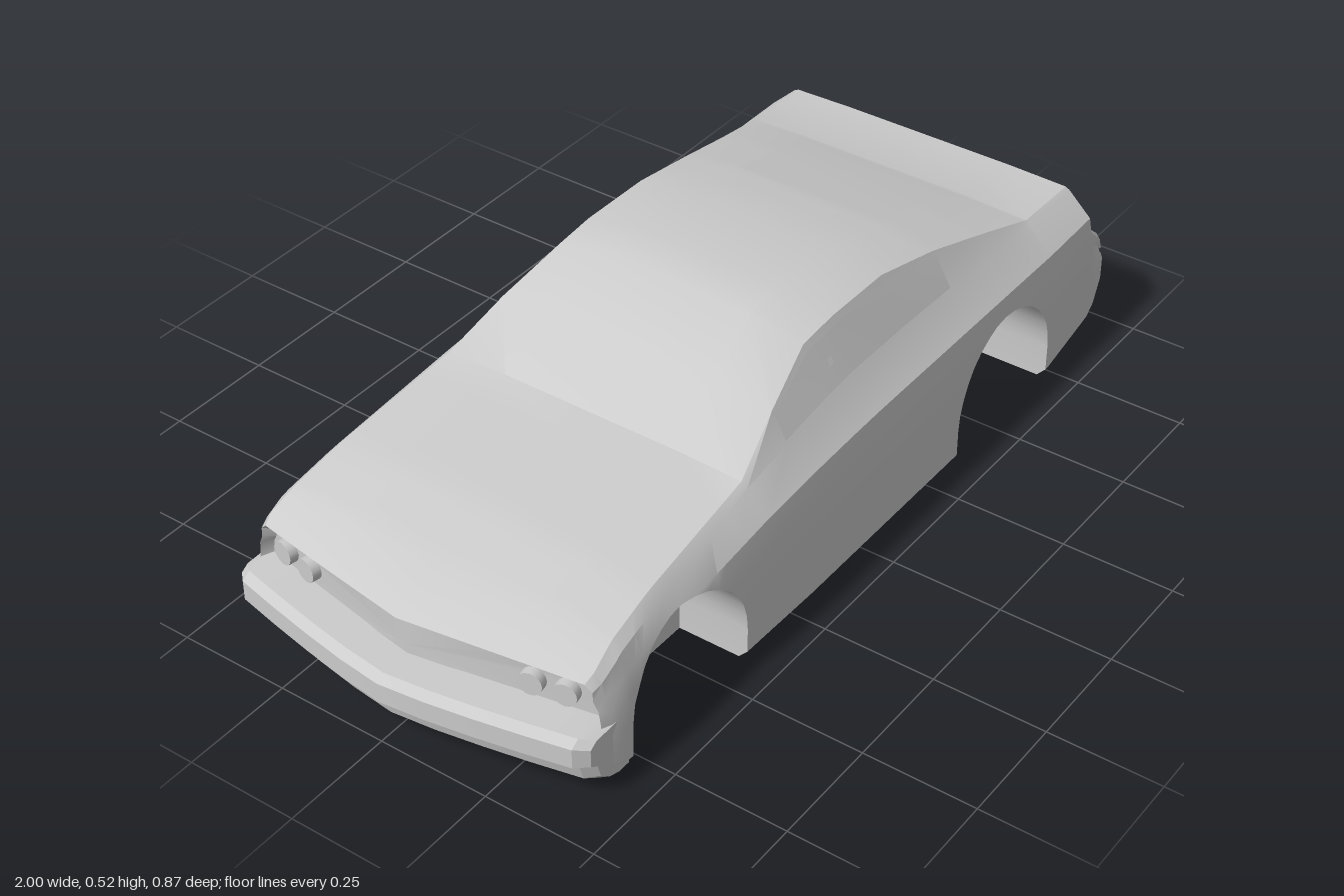
import * as THREE from 'three';
import { toCreasedNormals } from 'three/addons/utils/BufferGeometryUtils.js';

const grey = new THREE.MeshStandardMaterial({ color: 0xcccccc, side: THREE.DoubleSide });
const mix = THREE.MathUtils.lerp;

// Body stations: x, underside y, belt y, belt z, rail y, rail z, centre y, half width
const STATIONS = [
  [-0.935, 0.10, 0.235, 0.40, 0.25, 0.385, 0.26, 0.415],
  [-0.9, 0.03, 0.245, 0.405, 0.265, 0.39, 0.277, 0.425],
  [-0.82, 0.015, 0.265, 0.405, 0.285, 0.385, 0.305, 0.43],
  [-0.66, 0.01, 0.30, 0.395, 0.322, 0.375, 0.34, 0.43],
  [-0.34, 0.005, 0.352, 0.372, 0.362, 0.358, 0.367, 0.433],
  [-0.2, 0, 0.365, 0.367, 0.43, 0.33, 0.45, 0.433],
  [-0.05, 0, 0.372, 0.365, 0.487, 0.30, 0.515, 0.433],
  [0.05, 0, 0.375, 0.362, 0.497, 0.30, 0.521, 0.433],
  [0.23, 0, 0.375, 0.362, 0.495, 0.30, 0.515, 0.433],
  [0.41, 0, 0.375, 0.362, 0.46, 0.312, 0.48, 0.433],
  [0.57, 0, 0.375, 0.362, 0.42, 0.33, 0.437, 0.433],
  [0.73, 0.003, 0.374, 0.36, 0.38, 0.352, 0.385, 0.433],
  [0.9, 0.04, 0.37, 0.36, 0.375, 0.35, 0.378, 0.43],
  [0.935, 0.055, 0.258, 0.405, 0.266, 0.39, 0.27, 0.425],
  [0.98, 0.095, 0.215, 0.405, 0.228, 0.395, 0.231, 0.415],
  [1.0, 0.135, 0.18, 0.40, 0.188, 0.39, 0.19, 0.405],
];
const ARCH = { radius: 0.185, y: 0.085, inner: 0.27, centres: [-0.605, 0.535] };

function stationAt(x) {
  let i = 0;
  while (i < STATIONS.length - 2 && STATIONS[i + 1][0] < x) i++;
  const a = STATIONS[i], b = STATIONS[i + 1], t = (x - a[0]) / (b[0] - a[0]);
  return a.map((v, k) => mix(v, b[k], t));
}

// Sweeps the nose back towards its corners, fading out behind it
function swept(x, y, z) {
  const fade = THREE.MathUtils.clamp((-0.78 - x) / 0.15, 0, 1);
  return new THREE.Vector3(x + 0.075 * fade * Math.pow(Math.abs(z) / 0.42, 1.3), y, z);
}

// Closed loft through equal rings, capped at both ends
function loft(rings, crease = 0.4) {
  const pos = [], n = rings[0].length;
  const tri = (a, b, c) => {
    const area = b.clone().sub(a).cross(c.clone().sub(a)).length();
    if (area > 1e-8) pos.push(...a, ...b, ...c);
  };
  for (let r = 0; r < rings.length - 1; r++) {
    for (let i = 0; i < n; i++) {
      const j = (i + 1) % n, A = rings[r], B = rings[r + 1];
      tri(A[i], B[i], B[j]);
      tri(A[i], B[j], A[j]);
    }
  }
  const cap = (ring, flip) => {
    const c = ring[0].clone().add(ring[n / 2]).multiplyScalar(0.5);
    ring.forEach((p, i) => {
      const q = ring[(i + 1) % n];
      flip ? tri(c, q, p) : tri(c, p, q);
    });
  };
  cap(rings[0], false);
  cap(rings[rings.length - 1], true);
  // Turn the faces outward if the enclosed volume is negative
  let volume = 0;
  const P = (k) => new THREE.Vector3(pos[k], pos[k + 1], pos[k + 2]);
  for (let k = 0; k < pos.length; k += 9) volume += P(k).dot(P(k + 3).cross(P(k + 6)));
  if (volume < 0) {
    for (let k = 0; k < pos.length; k += 9) {
      for (let c = 0; c < 3; c++) [pos[k + 3 + c], pos[k + 6 + c]] = [pos[k + 6 + c], pos[k + 3 + c]];
    }
  }
  const g = new THREE.BufferGeometry();
  g.setAttribute('position', new THREE.Float32BufferAttribute(pos, 3));
  return toCreasedNormals(g, crease);
}

// One body section; archY lifts the lower side to open a wheel well
function bodyRing(x, archY = null, inset = null) {
  const [, b, beltY, beltZ, railY, railZ, top, w] = stationAt(x);
  const side = [
    [b, w - 0.02], [b + 0.022, w], [mix(b, beltY, 0.45), w], [mix(b, beltY, 0.68), w - 0.004],
    [mix(b, beltY, 0.84), w - 0.014], [beltY, beltZ],
  ];
  const widthAt = (y) => {
    let i = 0;
    while (i < side.length - 2 && side[i + 1][0] < y) i++;
    return mix(side[i][1], side[i + 1][1], (y - side[i][0]) / (side[i + 1][0] - side[i][0]));
  };
  const floor = archY ?? b;
  const half = [[b, 0], [b, ARCH.inner], [floor, ARCH.inner]];
  side.forEach(([y, z]) => half.push(y < floor ? [floor, widthAt(floor)] : [y, z]));
  half.push([railY, railZ], [top, railZ * 0.6], [top, 0]);
  const mirrored = half.slice(1, -1).reverse().map(([y, z]) => [y, -z]);
  return [...half, ...mirrored].map(([y, z]) => {
    const p = swept(x, y, z);
    if (inset) p.set(p.x + inset, 0.18 + (y - 0.18) * 0.82, z * 0.96);
    return p;
  });
}

function bodyRings() {
  const list = STATIONS.map(([x]) => ({ x, arch: null }));
  const { radius, y, centres } = ARCH, steps = 16;
  const inArch = (x) => centres.some((c) => Math.abs(x - c) <= radius);
  const out = list.filter(({ x }) => !inArch(x));
  centres.forEach((c) => {
    out.push({ x: c - radius, arch: null });
    for (let i = 0; i <= steps; i++) {
      const a = Math.PI * (1 - i / steps);
      out.push({ x: c + radius * Math.cos(a), arch: y + radius * Math.sin(a) });
    }
    out.push({ x: c + radius, arch: null });
  });
  out.forEach((s, i) => { s.order = i; });
  out.sort((p, q) => (Math.abs(p.x - q.x) > 1e-6 ? p.x - q.x : p.order - q.order));
  const rings = out.map((s) => bodyRing(s.x, s.arch));
  return [bodyRing(-0.935, null, 0.022), ...rings]; // recessed nose panel first
}

// Thin panel made from a grid of points
function panel(name, xs, ts, at) {
  const pos = [], idx = [], m = ts.length;
  xs.forEach((x) => ts.forEach((t) => pos.push(...at(x, t))));
  for (let i = 0; i < xs.length - 1; i++) {
    for (let j = 0; j < m - 1; j++) {
      const a = i * m + j;
      idx.push(a, a + 1, a + m, a + 1, a + m + 1, a + m);
    }
  }
  const g = new THREE.BufferGeometry();
  g.setAttribute('position', new THREE.Float32BufferAttribute(pos, 3));
  g.setIndex(idx);
  return named(name, toCreasedNormals(g, 0.4));
}

function named(name, geometry) {
  const mesh = new THREE.Mesh(geometry, grey);
  mesh.name = name;
  return mesh;
}

export function createModel() {
  const car = new THREE.Group();
  car.name = 'carBody';
  car.add(named('bodyShell', loft(bodyRings())));

  // Front bumper and lower valance, following the swept nose
  const profile = [
    [-0.82, 0.16], [-0.98, 0.158], [-1, 0.145], [-1, 0.1], [-0.978, 0.085],
    [-0.968, 0.05], [-0.935, 0.025], [-0.87, 0.014], [-0.8, 0.014], [-0.8, 0.1],
  ];
  const bumperZ = [-0.425, -0.4, -0.3, -0.2, -0.1, 0, 0.1, 0.2, 0.3, 0.4, 0.425];
  car.add(named('frontBumper', loft(bumperZ.map((z) => {
    const s = Math.abs(z) > 0.41 ? 0.88 : 1;
    return profile.map(([x, y]) => swept(-0.85 + (x + 0.85) * s, 0.09 + (y - 0.09) * s, z));
  }))));

  for (const s of [1, -1]) {
    const label = s > 0 ? 'left' : 'right';
    // Side window between belt and roof rail
    car.add(panel(label + 'SideWindow', [-0.2, -0.05, 0.05, 0.23, 0.41], [0.12, 0.88], (x, t) => {
      const [, , beltY, beltZ, railY, railZ] = stationAt(x);
      return [x, mix(beltY, railY, t) + 0.001, s * (mix(beltZ, railZ, t) + 0.002)];
    }));
    // Tail lamp on the sloping rear panel
    car.add(panel(label + 'TailLamp', [0.904, 0.932], [0.175, 0.345], (x, z) =>
      [x + 0.002, stationAt(x)[6] - 0.001, s * z]));
    // Paired headlamps set into the nose recess
    for (const z of [0.27, 0.34]) {
      const lamp = named(label + 'Headlamp', new THREE.CylinderGeometry(0.026, 0.026, 0.02, 16));
      lamp.rotation.z = Math.PI / 2;
      lamp.position.copy(swept(-0.915, 0.205, s * z));
      lamp.rotation.y = s * 0.2;
      car.add(lamp);
    }
  }

  // Rear window on the fastback
  car.add(panel('rearWindow', [0.41, 0.57, 0.71], [-0.56, 0.56], (x, t) => {
    const [, , , , , railZ, top] = stationAt(x);
    return [x, top + 0.002, t * railZ];
  }));
  return car;
}
